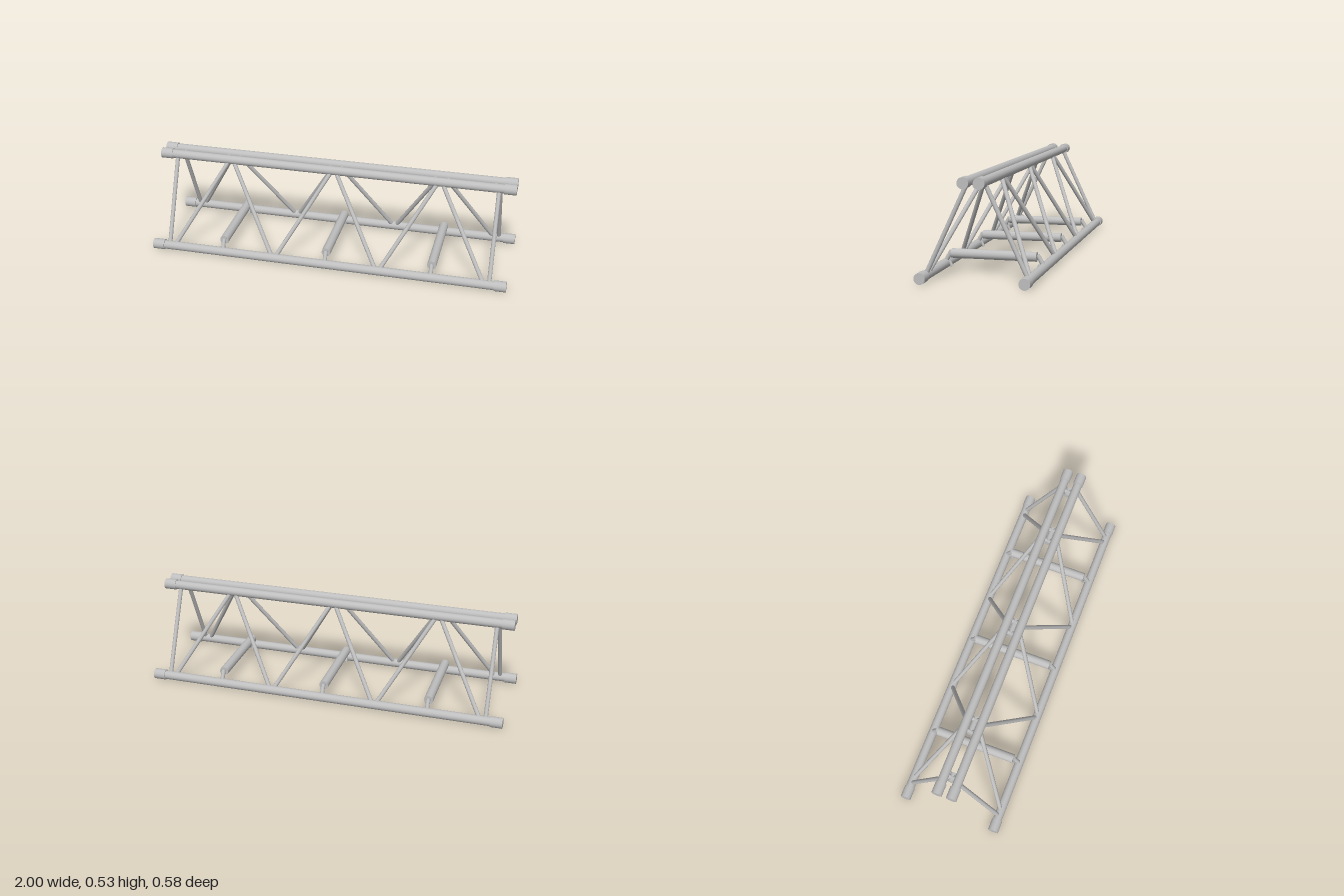
import * as THREE from 'three';

export function createModel() {
  const group = new THREE.Group();
  const metal = new THREE.MeshStandardMaterial({ color: 0xbebebe });
  metal.name = 'aluminium';

  // round bar between two points
  function rod(name, a, b, radius, sides = 16) {
    const start = new THREE.Vector3(...a), end = new THREE.Vector3(...b);
    const dir = end.clone().sub(start);
    const mesh = new THREE.Mesh(new THREE.CylinderGeometry(radius, radius, dir.length(), sides), metal);
    mesh.position.copy(start).add(end).multiplyScalar(0.5);
    mesh.quaternion.setFromUnitVectors(new THREE.Vector3(0, 1, 0), dir.normalize());
    mesh.name = name;
    group.add(mesh);
  }

  const low = { y: 0.03, z: 0.261 }, high = { y: 0.501, z: 0.04 };
  const bays = [-0.59, 0, 0.59];

  for (const s of [1, -1]) {
    // long chords with thicker end sleeves
    for (const [label, c] of [['lower', low], ['upper', high]]) {
      rod(label + 'Chord', [-0.99, c.y, s * c.z], [0.99, c.y, s * c.z], 0.0245, 24);
      for (const e of [1, -1])
        rod(label + 'Sleeve', [e * 0.935, c.y, s * c.z], [e, c.y, s * c.z], 0.029, 24);
    }

    // upright struts at both ends
    for (const e of [1, -1])
      rod('endStrut', [e * 0.907, low.y, s * low.z], [e * 0.907, high.y, s * high.z], 0.0115);

    // zigzag diagonals, one pair for each bay
    for (const x of bays)
      for (const d of [1, -1])
        rod('diagonal', [x + d * 0.288, low.y, s * low.z], [x + d * 0.009, high.y, s * high.z], 0.0115);

    // brackets holding the cross bars on the lower chords
    for (const x of bays) {
      rod('bracketArm', [x, 0.096, s * 0.229], [x, 0.038, s * 0.262], 0.0115);
      rod('bracketHook', [x, 0.045, s * 0.24], [x, 0.014, s * 0.225], 0.008);
    }
  }

  // wide cross bars between the lower chords
  for (const x of bays) rod('crossBar', [x, 0.085, -0.226], [x, 0.085, 0.226], 0.025, 20);

  // short links joining the two upper chords
  const links = [[-0.885, 0.025], [0.885, 0.025], ...bays.map(x => [x, 0.05])];
  for (const [x, half] of links) {
    rod('linkTube', [x - half, 0.481, 0], [x + half, 0.481, 0], 0.0165);
    const arms = half > 0.03 ? [-0.035, 0.035] : [0];
    for (const dx of arms)
      for (const s of [1, -1])
        rod('linkArm', [x + dx, 0.482, 0], [x + dx, high.y, s * high.z], 0.013);
  }

  return group;
}
